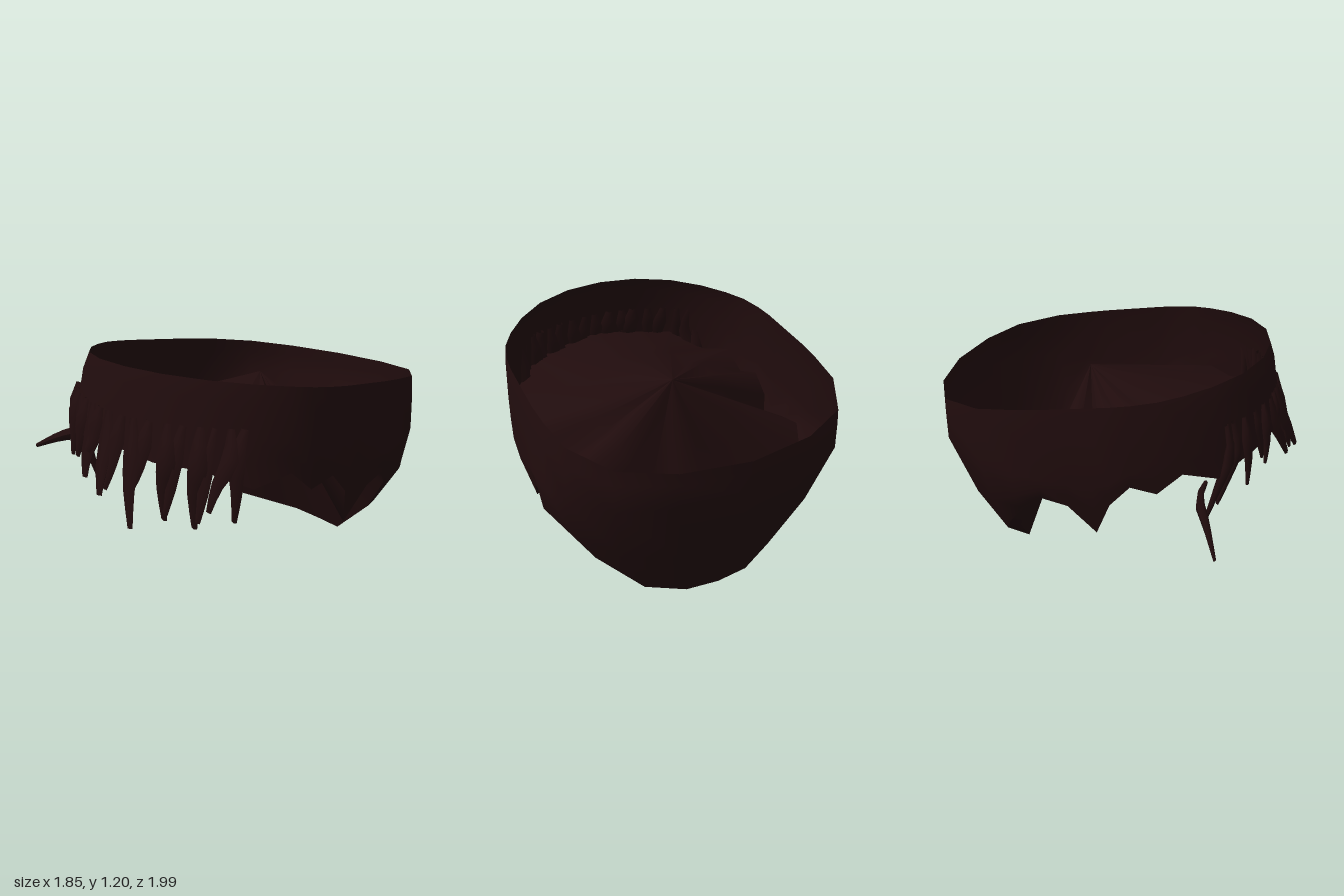
import * as THREE from 'three';

const CX = 0.12; // the hair is symmetric about this x
const rimY = z => 1.093 + 0.133 * z; // slanted open top

// Columns from the nape round to the forehead:
// rim dx,z | widest dx,y,z | hem dx,y,z
const COLUMNS = [
  [0, -1, 0, 0.78, -1, 0, 0, -0.6],
  [0.34, -0.95, 0.34, 0.78, -0.95, 0.18, 0, -0.58],
  [0.59, -0.83, 0.6, 0.76, -0.83, 0.38, 0.03, -0.5],
  [0.73, -0.6, 0.75, 0.72, -0.6, 0.6, 0.25, -0.46],
  [0.76, -0.4, 0.79, 0.7, -0.42, 0.72, 0.45, -0.4],
  [0.77, -0.26, 0.8, 0.68, -0.27, 0.77, 0.56, -0.28],
  [0.77, -0.13, 0.8, 0.68, -0.13, 0.77, 0.53, -0.14],
  [0.77, 0, 0.8, 0.68, 0, 0.73, 0.36, 0],
  [0.77, 0.08, 0.8, 0.7, 0.08, 0.78, 0.57, 0.08],
  [0.76, 0.18, 0.78, 0.76, 0.18, 0.77, 0.68, 0.18],
  [0.73, 0.3, 0.75, 0.82, 0.31, 0.74, 0.64, 0.31],
  [0.67, 0.41, 0.71, 0.9, 0.43, 0.71, 0.75, 0.43],
  [0.57, 0.54, 0.61, 0.92, 0.58, 0.63, 0.7, 0.6],
  [0.42, 0.67, 0.45, 0.95, 0.73, 0.46, 0.79, 0.76],
  [0.22, 0.76, 0.23, 0.98, 0.81, 0.24, 0.8, 0.85],
  [0, 0.79, 0, 1.0, 0.84, 0, 0.83, 0.88],
];

// Mirrors a rule for half a ring into a full ring of points
function ring(rule) {
  const half = COLUMNS.map(rule);
  const other = half.slice(1, -1).reverse().map(([x, y, z]) => [-x, y, z]);
  return [...half, ...other].map(([x, y, z]) => [x + CX, y, z]);
}

// Joins rings of equal length into one smooth surface
function loft(rings) {
  const n = rings[0].length;
  const index = [];
  for (let r = 0; r < rings.length - 1; r++) {
    for (let i = 0; i < n; i++) {
      const a = r * n + i, b = r * n + (i + 1) % n;
      index.push(a, b, a + n, b, b + n, a + n);
    }
  }
  const g = new THREE.BufferGeometry();
  g.setAttribute('position', new THREE.Float32BufferAttribute(rings.flat(2), 3));
  g.setIndex(index);
  g.computeVertexNormals();
  return g;
}

// Flattened strand, fullest near its middle, through the given points
function strand(points, radius) {
  const curve = new THREE.CatmullRomCurve3(points.map(p => new THREE.Vector3(...p)));
  const steps = 6, sides = 5;
  const g = new THREE.TubeGeometry(curve, steps, radius, sides);
  const pos = g.attributes.position;
  const v = new THREE.Vector3();
  for (let i = 0; i < pos.count; i++) {
    const t = Math.floor(i / (sides + 1)) / steps;
    const c = curve.getPointAt(t);
    const k = t < 0.35 ? 0.4 + t * 1.7 : 1 - (t - 0.35) * 1.1;
    v.fromBufferAttribute(pos, i).sub(c).multiplyScalar(k);
    v.z *= 0.6;
    v.add(c);
    pos.setXYZ(i, v.x, v.y, v.z);
  }
  g.computeVertexNormals();
  return g;
}

export function createModel() {
  const group = new THREE.Group();
  const hair = new THREE.MeshStandardMaterial({ color: 0x200c0d, side: THREE.DoubleSide });
  hair.name = 'dark brown hair';
  const add = (name, geometry) => {
    const mesh = new THREE.Mesh(geometry, hair);
    mesh.name = name;
    group.add(mesh);
  };

  // Outer wall, open at the top, with a heel tucked under at the nape
  const rim = ring(c => [c[0], rimY(c[1]), c[1]]);
  const upper = ring(c => [
    c[0] * 0.4 + c[2] * 0.6, rimY(c[1]) * 0.65 + c[3] * 0.35, c[1] * 0.5 + c[4] * 0.5]);
  const widest = ring(c => [c[2], c[3], c[4]]);
  const tuck = c => c[7] < -0.3 ? Math.max(0, 0.14 - 0.3 * c[6]) : 0;
  const low = ring(c => {
    const bulge = c[7] < -0.3 ? 1.07 : 1;
    return [(c[2] + c[5]) / 2 * bulge, (c[3] + c[6]) / 2, (c[4] + c[7] - tuck(c)) / 2];
  });
  const heel = ring(c => [c[5], c[6] + tuck(c) * 0.25, c[7] - tuck(c)]);
  const hem = ring(c => [c[5], c[6], c[7]]);
  add('outerHair', loft([rim, upper, widest, low, heel]));
  add('napeUnderside', loft([heel, hem]));

  // Peaked lining rising from the ragged hem to a point inside
  const halfway = ring(c => [c[5] / 2, (c[6] + 0.99) / 2, (c[7] - 0.2) / 2]);
  const peak = ring(() => [0, 0.99, -0.2]);
  add('lining', loft([hem, halfway, peak]));

  // Ragged fringe: root x, tip x, tip y, tip z, radius
  const fringe = [
    [-0.47, -0.44, 0.39, 0.54, 0.05],
    [-0.43, -0.47, 0.53, 0.6, 0.05],
    [-0.36, -0.4, 0.62, 0.74, 0.05],
    [-0.28, -0.24, 0.7, 0.8, 0.05],
    [-0.19, -0.25, 0.67, 0.82, 0.05],
    [-0.1, -0.05, 0.64, 0.93, 0.06],
    [-0.03, -0.08, 0.74, 0.9, 0.05],
    [0.05, 0.12, 0.61, 0.98, 0.06],
    [0.15, 0.1, 0.62, 0.93, 0.05],
    [0.22, 0.31, 0.49, 0.96, 0.055],
    [0.31, 0.25, 0.66, 0.88, 0.05],
    [0.4, 0.37, 0.5, 0.8, 0.06],
    [0.47, 0.41, 0.55, 0.83, 0.05],
    [0.54, 0.51, 0.48, 0.74, 0.06],
    [0.6, 0.57, 0.54, 0.78, 0.05],
    [0.66, 0.62, 0.6, 0.76, 0.05],
    [0.71, 0.66, 0.52, 0.63, 0.05],
  ];
  fringe.forEach(([x, tipX, tipY, tipZ, r], i) => {
    const d = x - CX;
    const z = 0.84 - 0.64 * d * d;
    add('fringeLock' + (i + 1), strand([
      [x, 0.98, z],
      [x + (i % 2 ? 0.02 : -0.02), 0.84, z + 0.03],
      [(x + tipX) / 2, (0.84 + tipY) / 2, (z + 0.04 + tipZ) / 2],
      [tipX, tipY, tipZ],
    ], r));
  });

  // Stray lock sticking out sideways
  add('strayLock', strand([
    [-0.52, 0.68, 0.54], [-0.62, 0.64, 0.52], [-0.76, 0.59, 0.57], [-0.92, 0.51, 0.63],
  ], 0.04));
  return group;
}
